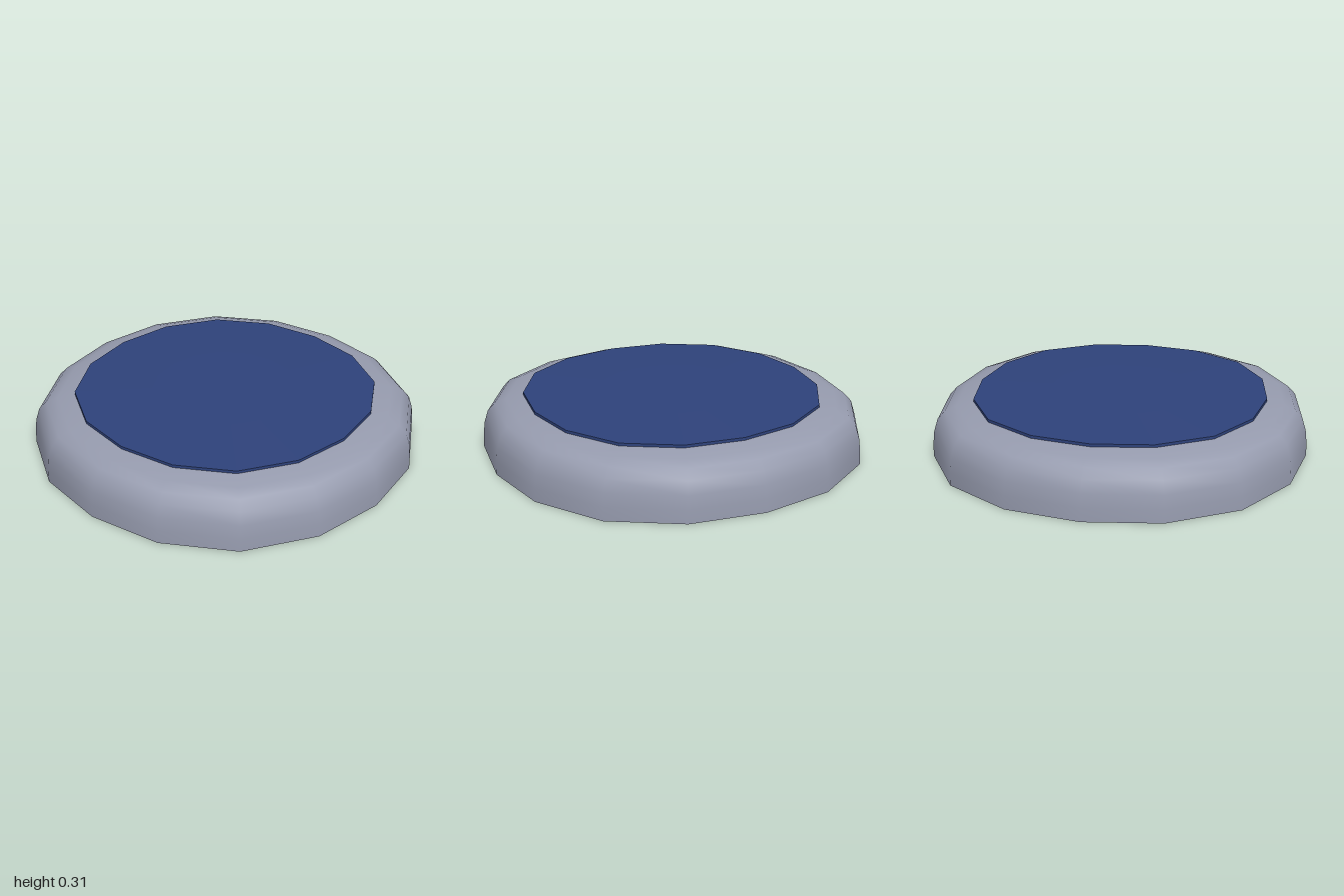
import * as THREE from 'three';

const SIDES = 16;

// Lathe whose round outline swells slightly towards the diagonals
function softLathe(profile) {
  const geo = new THREE.LatheGeometry(profile.map(([r, y]) => new THREE.Vector2(r, y)), SIDES);
  const p = geo.attributes.position;
  for (let i = 0; i < p.count; i++) {
    const x = p.getX(i), z = p.getZ(i);
    const s = 1 + 0.032 * Math.sin(2 * Math.atan2(z, x)) ** 2;
    p.setX(i, x * s);
    p.setZ(i, z * s);
  }
  return geo;
}

// Flat spiral, wound from the inside outwards
class SpiralCurve extends THREE.Curve {
  constructor(inner, outer, turns, y) {
    super();
    Object.assign(this, { inner, outer, turns, y });
  }
  getPoint(t, target = new THREE.Vector3()) {
    const a = t * this.turns * Math.PI * 2;
    const r = this.inner + (this.outer - this.inner) * t;
    return target.set(r * Math.cos(a), this.y, r * Math.sin(a));
  }
  getPointAt(t, target) { return this.getPoint(t, target); }
  getTangentAt(t, target) { return this.getTangent(t, target); }
}

export function createModel() {
  const model = new THREE.Group();
  model.name = 'roundPad';

  const shellGrey = new THREE.MeshStandardMaterial({ color: 0x969bae, side: THREE.DoubleSide });
  shellGrey.name = 'shellGrey';
  const plateBlue = new THREE.MeshStandardMaterial({ color: 0x2e427a, flatShading: true });
  plateBlue.name = 'plateBlue';
  const coilGrey = new THREE.MeshStandardMaterial({ color: 0x404040, flatShading: true });
  coilGrey.name = 'coilGrey';

  const add = (name, geo, mat) => {
    const mesh = new THREE.Mesh(geo, mat);
    mesh.name = name;
    model.add(mesh);
  };

  // Hollow rounded housing, open underneath
  add('shell', softLathe([
    [1, 0], [0.998, 0.07], [0.99, 0.14], [0.97, 0.205], [0.93, 0.25],
    [0.87, 0.273], [0.78, 0.288], [0.765, 0.289],
  ]), shellGrey);

  // Very slightly domed top plate
  add('topPlate', softLathe([
    [0, 0.29], [0.78, 0.29], [0.78, 0.305], [0.38, 0.31], [0, 0.31],
  ]), plateBlue);

  // Wound coil hanging below the plate
  add('coil', new THREE.TubeGeometry(new SpiralCurve(0.155, 0.32, 4, 0.235), 48, 0.016, 6), coilGrey);

  return model;
}
